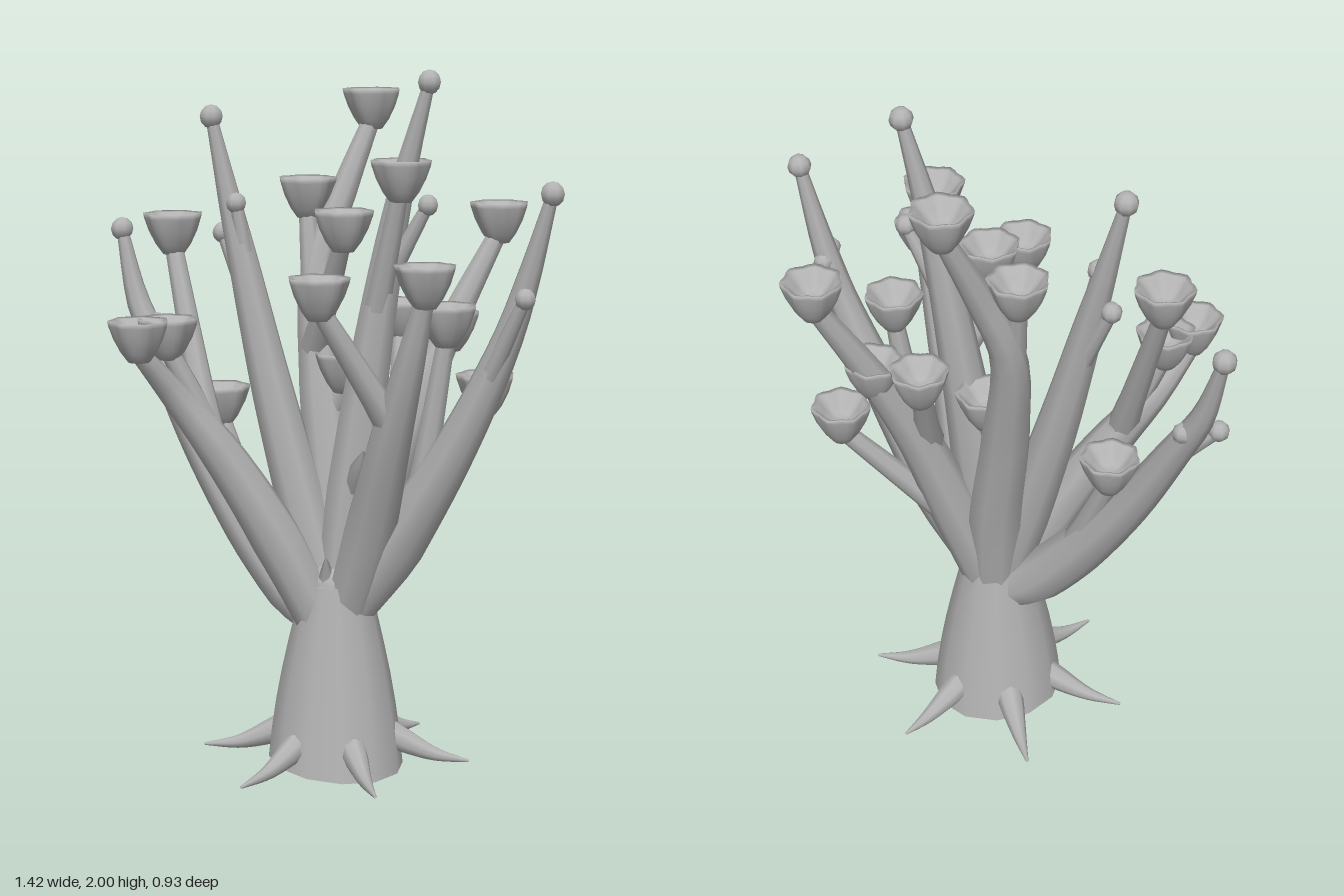
import * as THREE from 'three';
import { mergeVertices } from 'three/addons/utils/BufferGeometryUtils.js';

const clay = new THREE.MeshStandardMaterial({ color: 0xb2b2b2, side: THREE.DoubleSide });
clay.name = 'stone grey';

// Tapered limb through points [x, y, z, radius]
function limbGeometry(points, sides = 8) {
  const curve = new THREE.CatmullRomCurve3(points.map(p => new THREE.Vector3(p[0], p[1], p[2])));
  const rings = (points.length - 1) * 4;
  const geo = new THREE.TubeGeometry(curve, rings, 1, sides);
  const pos = geo.attributes.position;
  const v = new THREE.Vector3();
  for (let i = 0; i <= rings; i++) {
    const centre = curve.getPointAt(i / rings);
    const t = curve.getUtoTmapping(i / rings) * (points.length - 1);
    const k = Math.min(Math.floor(t), points.length - 2);
    const r = THREE.MathUtils.lerp(points[k][3], points[k + 1][3], t - k);
    for (let j = 0; j <= sides; j++) {
      const n = i * (sides + 1) + j;
      v.fromBufferAttribute(pos, n).sub(centre).multiplyScalar(r).add(centre);
      pos.setXYZ(n, v.x, v.y, v.z);
    }
  }
  return geo;
}

// Hollow cup with a seven-lobed rim; its origin is the centre of the rim
function cupGeometry() {
  const profile = [[0, -0.118], [0.03, -0.116], [0.05, -0.088], [0.068, -0.05], [0.079, -0.014],
    [0.081, 0], [0.07, -0.004], [0.052, -0.03], [0.028, -0.052], [0, -0.058]];
  let geo = new THREE.LatheGeometry(profile.map(p => new THREE.Vector2(...p)), 28);
  const pos = geo.attributes.position;
  for (let i = 0; i < pos.count; i++) {
    const x = pos.getX(i), y = pos.getY(i), z = pos.getZ(i);
    const s = 1 + 0.065 * Math.cos(7 * Math.atan2(z, x)) * (1 + y / 0.15);
    pos.setXYZ(i, x * s, y, z * s);
  }
  geo.deleteAttribute('uv');
  geo.deleteAttribute('normal');
  geo = mergeVertices(geo, 1e-5);
  geo.computeVertexNormals();
  return geo;
}

export function createModel() {
  const group = new THREE.Group();
  const add = (name, geo, at = [0, 0, 0]) => {
    const mesh = new THREE.Mesh(geo, clay);
    mesh.name = name;
    mesh.position.set(...at);
    group.add(mesh);
    return mesh;
  };
  const limb = (name, points) => add(name, limbGeometry(points));

  // Trunk, flared at the foot, with a slightly slanting base
  const trunk = new THREE.CylinderGeometry(0.096, 0.195, 0.55, 12, 6);
  const tp = trunk.attributes.position;
  for (let i = 0; i < tp.count; i++) {
    const h = (tp.getY(i) + 0.275) / 0.55;
    const bulge = 1 + 0.08 * Math.sin(h * Math.PI);
    const x = tp.getX(i) * bulge + 0.048;
    const y = h * 0.55 + (1 - h) * Math.max(0, 0.02 - x * 0.09);
    tp.setXYZ(i, x, y, tp.getZ(i) * bulge + 0.028);
  }
  add('trunk', trunk);
  add('crown', new THREE.SphereGeometry(0.095, 10, 8), [0.05, 0.53, 0.025]);

  // Spiky roots around the foot
  const roots = [[-0.34, 0.11], [-0.07, 0.4], [0.3, 0.31], [0.42, -0.08], [0.155, -0.335], [-0.22, -0.25]];
  for (const [x, z] of roots) {
    const dx = x - 0.045, dz = z - 0.02, d = Math.hypot(dx, dz);
    const out = (r, y, w) => [0.045 + dx / d * r, y, 0.02 + dz / d * r, w];
    limb('root', [out(0.12, 0.12, 0.045), out(0.2, 0.08, 0.036), out(0.29, 0.045, 0.02), out(d, 0.03, 0.004)]);
  }

  // Main limbs rising from the crown
  limb('leftwardLimb', [[0.09, 0.46, 0.025, 0.06], [0.23, 0.67, 0.028, 0.085], [0.41, 0.97, 0.022, 0.062],
    [0.55, 1.27, 0.01, 0.044], [0.61, 1.45, 0.005, 0.034], [0.675, 1.68, 0.005, 0.017]]);
  limb('rightwardLimb', [[0.03, 0.4, 0.02, 0.055], [-0.09, 0.5, 0.015, 0.08], [-0.23, 0.665, 0.01, 0.076],
    [-0.4, 0.91, 0, 0.06], [-0.545, 1.17, -0.015, 0.045], [-0.62, 1.31, -0.025, 0.035], [-0.68, 1.52, -0.04, 0.017]]);
  limb('tallRightLimb', [[0.03, 0.45, 0.02, 0.07], [-0.06, 0.75, 0.02, 0.075], [-0.16, 1.1, 0.02, 0.062],
    [-0.25, 1.46, 0.02, 0.044], [-0.29, 1.62, 0.02, 0.034], [-0.345, 1.86, 0.025, 0.017]]);
  limb('tallLeftLimb', [[0.05, 0.45, 0.02, 0.07], [0.085, 0.8, 0, 0.08], [0.125, 1.15, -0.02, 0.064],
    [0.18, 1.5, -0.035, 0.047], [0.22, 1.7, -0.045, 0.036], [0.29, 1.965, -0.055, 0.017]]);
  limb('backLimb', [[0.04, 0.45, 0, 0.07], [0.005, 0.75, -0.05, 0.082], [-0.06, 1.1, -0.105, 0.07],
    [-0.105, 1.42, -0.17, 0.05], [-0.06, 1.63, -0.245, 0.041], [-0.01, 1.84, -0.335, 0.027]]);
  limb('backLeftLimb', [[0.06, 0.45, 0, 0.07], [0.13, 0.75, -0.08, 0.075], [0.2, 1.02, -0.16, 0.06],
    [0.28, 1.27, -0.26, 0.045], [0.375, 1.53, -0.38, 0.028]]);
  limb('frontRightLimb', [[0.02, 0.42, 0.06, 0.065], [-0.09, 0.68, 0.13, 0.075], [-0.23, 0.94, 0.21, 0.06],
    [-0.33, 1.1, 0.28, 0.042], [-0.39, 1.23, 0.375, 0.026]]);
  limb('frontLeftLimb', [[0.08, 0.45, 0.03, 0.07], [0.18, 0.72, 0.085, 0.078], [0.27, 1.0, 0.15, 0.062],
    [0.34, 1.22, 0.185, 0.044], [0.39, 1.41, 0.2, 0.028]]);

  // Side stems that carry cups
  const stems = [
    [[-0.085, 1.2, -0.12], [-0.145, 1.6, -0.185]],
    [[0.18, 1.0, -0.13], [0.13, 1.24, -0.235]],
    [[0.18, 0.96, -0.14], [0.28, 1.22, -0.245]],
    [[0.11, 0.66, -0.05], [0.385, 1.04, -0.26]],
    [[-0.06, 0.92, -0.07], [0.02, 1.1, -0.08]],
    [[-0.08, 1.2, -0.1], [0.06, 1.52, 0.015]],
    [[0.14, 1.28, -0.02], [0.235, 1.66, 0.02]],
    [[0.3, 0.8, 0.02], [0.37, 1.27, 0]],
    [[0.28, 1.04, 0.16], [0.13, 1.38, 0.315]],
    [[-0.23, 0.94, 0.2], [-0.35, 1.23, 0.28]],
    [[-0.26, 1.0, 0.22], [-0.43, 1.5, 0.1]],
    [[-0.24, 0.72, 0], [-0.355, 1, -0.03]],
  ];
  for (const [a, b] of stems) limb('cupStem', [[...a, 0.046], [...b, 0.026]]);

  // Cups, placed by the centre of the rim
  const cup = cupGeometry();
  const cups = [[-0.01, 1.93, -0.34], [0.375, 1.612, -0.38], [-0.145, 1.68, -0.185], [0.13, 1.33, -0.245],
    [0.28, 1.31, -0.245], [0.385, 1.13, -0.262], [0.02, 1.195, -0.08], [0.065, 1.612, 0.02],
    [0.237, 1.757, 0.015], [0.37, 1.362, 0], [0.39, 1.495, 0.198], [0.13, 1.462, 0.315],
    [-0.352, 1.318, 0.28], [-0.388, 1.322, 0.378], [-0.43, 1.59, 0.1], [-0.35, 1.08, -0.03]];
  cups.forEach((p, i) => { add('cup', cup, p).rotation.y = i * 0.7; });

  // Ball tips on the tall limbs
  const ball = new THREE.SphereGeometry(0.034, 8, 6);
  for (const p of [[0.675, 1.68, 0.005], [-0.68, 1.52, -0.04], [-0.345, 1.86, 0.025], [0.29, 1.966, -0.055]]) {
    add('ballTip', ball, p);
  }

  // Short twigs with smaller balls
  const twigs = [
    [[0.5, 1.15, 0.03], [0.622, 1.4, 0.06]],
    [[0.53, 1.22, 0], [0.595, 1.4, -0.015]],
    [[-0.52, 1.12, -0.005], [-0.645, 1.24, 0.03]],
    [[-0.52, 1.12, -0.015], [-0.572, 1.25, -0.04]],
    [[-0.22, 1.35, 0.02], [-0.26, 1.62, 0.04]],
    [[-0.22, 1.3, 0.01], [-0.325, 1.53, 0]],
    [[0.18, 1.42, -0.03], [0.295, 1.63, -0.04]],
  ];
  for (const [a, b] of twigs) {
    limb('twig', [[...a, 0.032], [...b, 0.018]]);
    add('twigBall', ball, b).scale.setScalar(0.88);
  }

  // Small buds low on the limbs
  limb('bud', [[0.1, 0.8, 0.02, 0.04], [0.135, 0.89, 0.06, 0.028], [0.155, 0.945, 0.075, 0.004]]);
  limb('bud', [[0.04, 0.48, 0.07, 0.035], [0.045, 0.57, 0.085, 0.026], [0.05, 0.63, 0.1, 0.004]]);
  return group;
}
